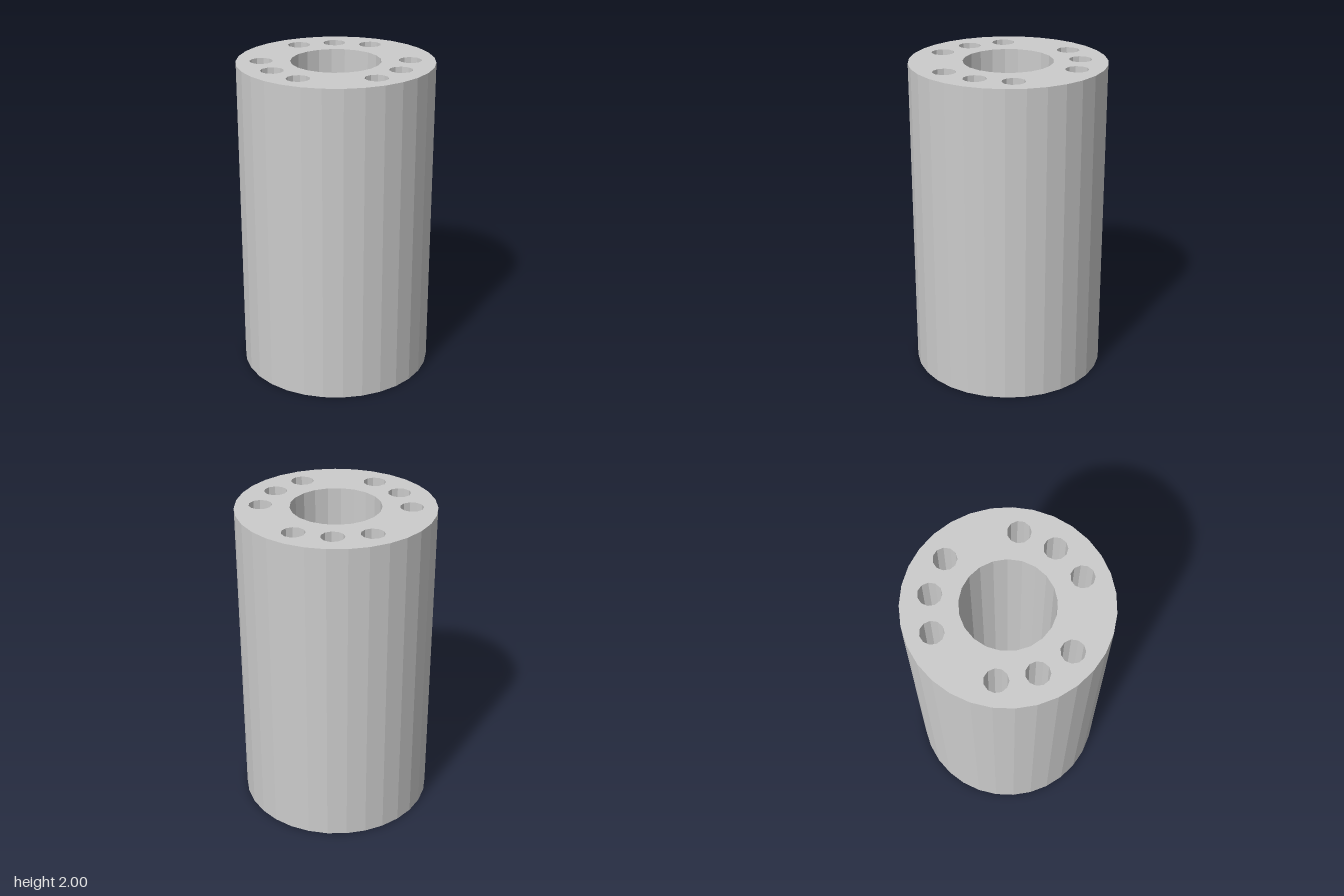
import * as THREE from 'three';

// Regular polygon points with one corner facing -x
function polygon(cx, cy, radius, sides) {
  return Array.from({ length: sides }, (_, i) => {
    const a = Math.PI + (i / sides) * Math.PI * 2;
    return new THREE.Vector2(cx + radius * Math.cos(a), cy + radius * Math.sin(a));
  });
}

export function createModel() {
  const group = new THREE.Group();
  const material = new THREE.MeshStandardMaterial({ color: 0xcccccc, flatShading: true });

  // Outer wall and central bore
  const section = new THREE.Shape(polygon(0, 0, 0.607, 31));
  section.holes.push(new THREE.Path(polygon(0, 0, 0.277, 21)));

  // Small channels: [angle in degrees, distance from the axis]
  const channels = [
    [0, 0.452], [60, 0.452], [90, 0.441], [120, 0.452], [180, 0.452],
    [210, 0.438], [240, 0.452], [300, 0.452], [330, 0.438],
  ];
  for (const [degrees, distance] of channels) {
    const a = THREE.MathUtils.degToRad(degrees);
    const points = polygon(distance * Math.cos(a), distance * Math.sin(a), 0.071, 11);
    section.holes.push(new THREE.Path(points));
  }

  // Straight body, stood upright
  const geometry = new THREE.ExtrudeGeometry(section, { depth: 2, bevelEnabled: false });
  geometry.rotateX(-Math.PI / 2);
  const body = new THREE.Mesh(geometry, material);
  body.name = 'perforatedCylinder';
  group.add(body);
  return group;
}
